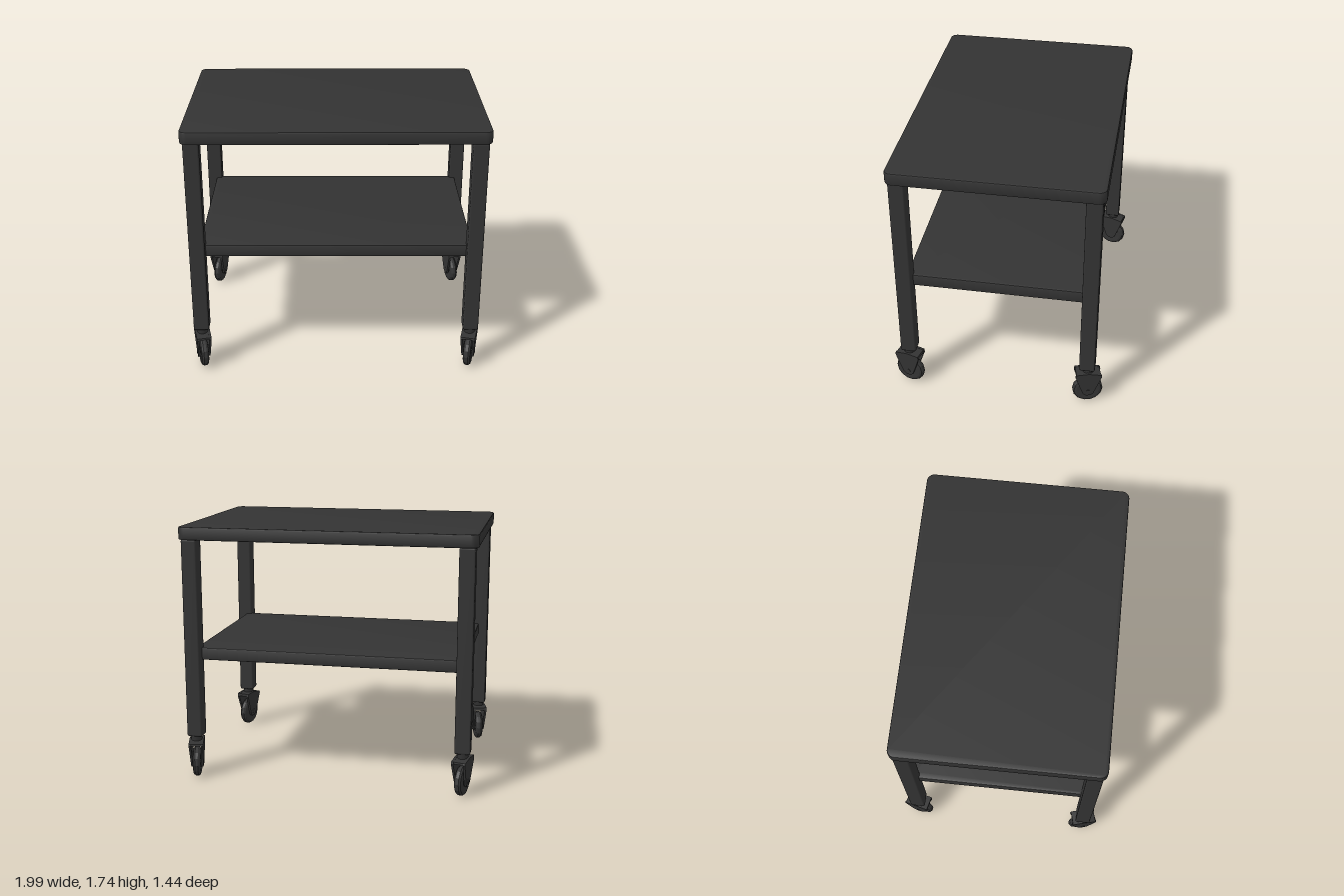
import * as THREE from 'three';
import { toCreasedNormals } from 'three/addons/utils/BufferGeometryUtils.js';
import { RoundedBoxGeometry } from 'three/addons/geometries/RoundedBoxGeometry.js';

const dark = new THREE.MeshStandardMaterial({ color: 0x333333 });
const darkFlat = new THREE.MeshStandardMaterial({ color: 0x333333, flatShading: true });

const LEG_X = 0.923, LEG_Z = 0.613, LEG_W = 0.105;
const WHEEL_R = 0.103, YAW = 0.25;

function add(parent, name, geometry, material = dark, x = 0, y = 0, z = 0) {
  const mesh = new THREE.Mesh(geometry, material);
  mesh.name = name;
  mesh.position.set(x, y, z);
  parent.add(mesh);
  return mesh;
}

// Horizontal board with rounded corners and softened edges, resting on y = 0
function slab(halfX, halfZ, height, radius, bevel) {
  const x = halfX - bevel, z = halfZ - bevel, r = radius - bevel;
  const s = new THREE.Shape();
  s.moveTo(-x + r, -z);
  s.absarc(x - r, -z + r, r, -Math.PI / 2, 0);
  s.absarc(x - r, z - r, r, 0, Math.PI / 2);
  s.absarc(-x + r, z - r, r, Math.PI / 2, Math.PI);
  s.absarc(-x + r, -z + r, r, Math.PI, Math.PI * 1.5);
  const g = new THREE.ExtrudeGeometry(s, {
    depth: height - 2 * bevel, bevelEnabled: true, bevelSize: bevel,
    bevelThickness: bevel, bevelSegments: 2, curveSegments: 5,
  });
  g.translate(0, 0, bevel).rotateX(-Math.PI / 2);
  return toCreasedNormals(g, 0.6);
}

// Fork side plate: wide at the crown, narrowing to the axle, leaning inwards as it drops
function forkPlate(side) {
  const outline = [[0.09, 0.238], [0.085, 0.252], [0.0, 0.268], [-0.085, 0.262], [-0.09, 0.24],
    [-0.052, 0.13], [-0.035, 0.085], [-0.015, 0.067], [0.015, 0.067], [0.035, 0.085], [0.052, 0.13]];
  const t = 0.015;
  const g = new THREE.ExtrudeGeometry(
    new THREE.Shape(outline.map(p => new THREE.Vector2(...p))), { depth: t, bevelEnabled: false });
  g.translate(0, 0, -t / 2).rotateY(-Math.PI / 2);
  const p = g.attributes.position;
  for (let i = 0; i < p.count; i++) {
    const lean = 0.034 + 0.009 * (p.getY(i) - 0.067) / 0.2;
    p.setX(i, p.getX(i) + side * lean);
  }
  g.computeVertexNormals();
  return g;
}

// Swivel caster, its wheel rolling along local z
function caster() {
  const c = new THREE.Group();
  c.name = 'caster';

  // Tyre and stepped hub, turned about the axle
  const half = [[0, 0.02], [0.035, 0.02], [0.04, 0.025], [0.078, 0.027], [0.094, 0.022], [WHEEL_R, 0.01]];
  const profile = [...half.map(([r, w]) => [r, -w]), ...half.slice().reverse()]
    .map(([r, w]) => new THREE.Vector2(r, w));
  add(c, 'wheel', new THREE.LatheGeometry(profile, 14).rotateZ(Math.PI / 2), darkFlat, 0, WHEEL_R, 0);
  add(c, 'axle', new THREE.CylinderGeometry(0.016, 0.016, 0.092, 10).rotateZ(Math.PI / 2), dark, 0, WHEEL_R, 0);

  // Fork plates joined by a crown
  for (const side of [-1, 1]) add(c, 'forkPlate', forkPlate(side), darkFlat);
  const crown = new THREE.Shape([[0.085, 0.238], [0.083, 0.251], [0, 0.267], [-0.084, 0.26], [-0.085, 0.24]]
    .map(p => new THREE.Vector2(...p)));
  const crownGeo = new THREE.ExtrudeGeometry(crown, { depth: 0.085, bevelEnabled: false });
  add(c, 'forkCrown', crownGeo.translate(0, 0, -0.0425).rotateY(-Math.PI / 2), darkFlat);

  // Swivel neck
  add(c, 'swivelNeck', new THREE.CylinderGeometry(0.042, 0.036, 0.045, 16), dark, 0, 0.278, 0);
  return c;
}

export function createModel() {
  const model = new THREE.Group();
  model.name = 'rollingTable';

  // Table top and lower shelf
  add(model, 'tableTop', slab(0.995, 0.685, 0.087, 0.05, 0.01), dark, 0, 1.659, 0);
  add(model, 'lowerShelf', slab(0.912, 0.602, 0.085, 0.04, 0.01), dark, 0, 0.83, 0);

  // Legs and casters at the four corners
  for (const sx of [-1, 1]) {
    for (const sz of [-1, 1]) {
      add(model, 'leg', new RoundedBoxGeometry(LEG_W, 1.366, LEG_W, 2, 0.012), dark,
        sx * LEG_X, 0.978, sz * LEG_Z);
      const c = caster();
      c.position.set(sx * LEG_X, 0, sz * (LEG_Z + 0.005));
      c.rotation.y = Math.atan2(-sx * Math.sin(YAW), sz * Math.cos(YAW));
      model.add(c);
    }
  }
  return model;
}
